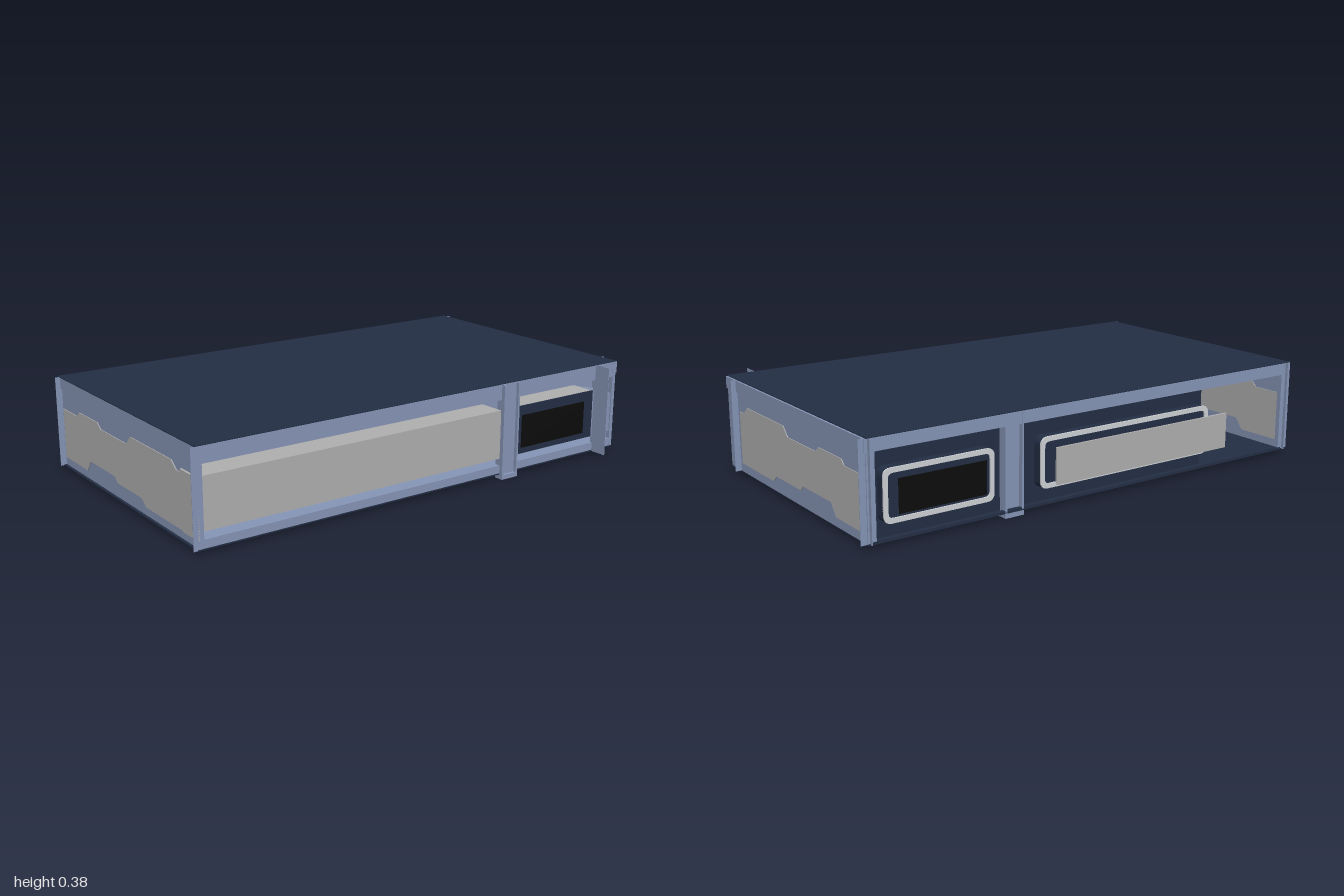
import * as THREE from 'three';

const mat = (name, hex) => {
  const m = new THREE.MeshStandardMaterial({ color: hex, side: THREE.DoubleSide });
  m.name = name;
  return m;
};

export function createModel() {
  const model = new THREE.Group();
  model.name = 'lowContainer';
  const blue = mat('steelBlue', 0x8796b8);
  const grey = mat('panelGrey', 0xb0b0b0);
  const navy = mat('darkNavy', 0x232f45);
  const black = mat('glassBlack', 0x0c0c0c);
  const light = mat('trimLight', 0xd0d3d6);

  const add = (name, geometry, material) => {
    const mesh = new THREE.Mesh(geometry, material);
    mesh.name = name;
    model.add(mesh);
    return mesh;
  };
  // Box given by its limits on each axis
  const box = (name, material, x0, x1, y0, y1, z0, z1) =>
    add(name, new THREE.BoxGeometry(x1 - x0, y1 - y0, z1 - z0), material)
      .position.set((x0 + x1) / 2, (y0 + y1) / 2, (z0 + z1) / 2);
  const extrude = (shape, depth) =>
    new THREE.ExtrudeGeometry(shape, { depth, bevelEnabled: false, curveSegments: 5 });
  // Rectangle with rounded corners
  const rounded = (Type, x0, x1, y0, y1, r) => {
    const s = new Type();
    s.moveTo(x0 + r, y0);
    s.lineTo(x1 - r, y0).quadraticCurveTo(x1, y0, x1, y0 + r);
    s.lineTo(x1, y1 - r).quadraticCurveTo(x1, y1, x1 - r, y1);
    s.lineTo(x0 + r, y1).quadraticCurveTo(x0, y1, x0, y1 - r);
    s.lineTo(x0, y0 + r).quadraticCurveTo(x0, y0, x0 + r, y0);
    return s;
  };

  // Roof and floor sheets
  box('roof', navy, -0.58, 0.52, 0.382, 0.385, -0.975, 0.985);
  box('floor', navy, -0.58, 0.52, 0.018, 0.023, -0.975, 0.985);
  add('floorDisc', new THREE.CylinderGeometry(0.107, 0.107, 0.006, 32), navy).position.set(-0.02, 0.016, -0.38);

  // End walls with stepped inset panels
  const outline = [
    [-0.56, 0.055], [-0.36, 0.055], [-0.325, 0.1], [-0.115, 0.1], [-0.095, 0.08], [0.1, 0.08],
    [0.135, 0.055], [0.41, 0.055], [0.41, 0.262], [0.375, 0.262], [0.34, 0.29], [0.03, 0.29],
    [-0.005, 0.255], [-0.22, 0.255], [-0.245, 0.275], [-0.41, 0.275], [-0.43, 0.255], [-0.56, 0.255],
  ].map(([x, y]) => new THREE.Vector2(x, y));
  for (const [name, z] of [['front', 0.967], ['back', -0.967]]) {
    const s = Math.sign(z);
    box(name + 'Wall', blue, -0.575, 0.52, 0.02, 0.381, z - 0.008, z + 0.008);
    add(name + 'Panel', extrude(new THREE.Shape(outline), 0.022), grey).position.z = z - 0.011;
    const a = z + s * 0.008, b = z + s * 0.014;
    box(name + 'Beam', blue, -0.575, 0.52, 0.335, 0.381, Math.min(a, b), Math.max(a, b));
    // Thin flanges standing out at the corners
    for (const x of [-0.57, s > 0 ? 0.519 : 0.43])
      box(name + 'Flange', blue, x - 0.001, x + 0.001, 0.02, 0.382, Math.min(a, s), Math.max(a, s));
    box(name + 'LeftEdge', blue, -0.59, -0.575, 0.02, 0.382, z - 0.001, z + 0.001);
  }
  box('frontPanelEnd', grey, 0.411, 0.52, 0.052, 0.262, 0.96, 0.98);

  // Model's left side: rails, inner wall and long panel
  box('leftTopRail', blue, 0.45, 0.519, 0.32, 0.381, -0.96, 0.96);
  box('leftBottomRail', blue, 0.45, 0.519, 0.022, 0.055, -0.96, 0.96);
  box('leftInnerWall', blue, 0.4, 0.41, 0.022, 0.381, -0.96, 0.96);
  box('leftLongPanel', grey, 0.41, 0.518, 0.083, 0.278, -0.35, 0.984);
  box('leftWindowBody', grey, 0.41, 0.512, 0.084, 0.277, -0.85, -0.43);
  box('leftWindowSurround', navy, 0.512, 0.518, 0.083, 0.278, -0.85, -0.43);
  box('leftWindow', black, 0.518, 0.521, 0.107, 0.24, -0.8, -0.46);
  box('leftFin', blue, 0.51, 0.59, 0.018, 0.384, -0.861, -0.859);

  // Tapered block between the window and the back corner
  const taper = new THREE.Shape([[0.85, 0.078], [0.96, 0.088], [0.96, 0.25], [0.85, 0.275]]
    .map(([x, y]) => new THREE.Vector2(x, y)));
  const block = add('leftTaperBlock', extrude(taper, 0.1), blue);
  block.rotation.y = Math.PI / 2;
  block.position.x = 0.415;

  // Channel posts with feet
  for (const [side, x0, x1, open] of [['left', 0.495, 0.535, 1], ['right', -0.58, -0.535, -1]]) {
    const back = open > 0 ? [x0, x0 + 0.027] : [x1 - 0.027, x1];
    box(side + 'PostWeb', blue, ...back, 0.006, 0.381, -0.43, -0.35);
    for (const z of [-0.43, -0.358])
      box(side + 'PostFlange', blue, x0, x1, 0.006, 0.381, z, z + 0.008);
    box(side + 'PostFoot', blue, x0, x1, 0, 0.018, -0.43, -0.35);
  }

  // Model's right side: rails and backing
  box('rightTopRail', blue, -0.579, -0.54, 0.335, 0.381, -0.96, 0.96);
  box('rightBottomRail', navy, -0.579, -0.56, 0.02, 0.028, -0.96, 0.96);
  box('rightInnerWall', navy, -0.545, -0.535, 0.022, 0.381, -0.96, 0.53);
  for (const z of [-0.955, 0.955])
    box('rightCornerPost', blue, -0.579, -0.56, 0.02, 0.381, z - 0.01, z + 0.01);

  // Rounded frames around the window and the equipment panel
  for (const [name, z0, z1] of [['rightWindow', -0.92, -0.48], ['rightPanel', -0.28, 0.53]]) {
    const plate = add(name + 'Plate', extrude(rounded(THREE.Shape, z0, z1, 0.08, 0.272, 0.03), 0.035), navy);
    const ring = rounded(THREE.Shape, z0, z1, 0.08, 0.272, 0.03);
    ring.holes.push(rounded(THREE.Path, z0 + 0.018, z1 - 0.018, 0.098, 0.254, 0.02));
    const trim = add(name + 'Trim', extrude(ring, 0.007), light);
    plate.rotation.y = trim.rotation.y = -Math.PI / 2;
    plate.position.x = -0.545;
    trim.position.x = -0.579;
  }
  box('rightWindow', black, -0.584, -0.58, 0.107, 0.23, -0.86, -0.51);
  box('rightEquipmentPanel', grey, -0.588, -0.578, 0.085, 0.225, -0.21, 0.63);

  return model;
}
